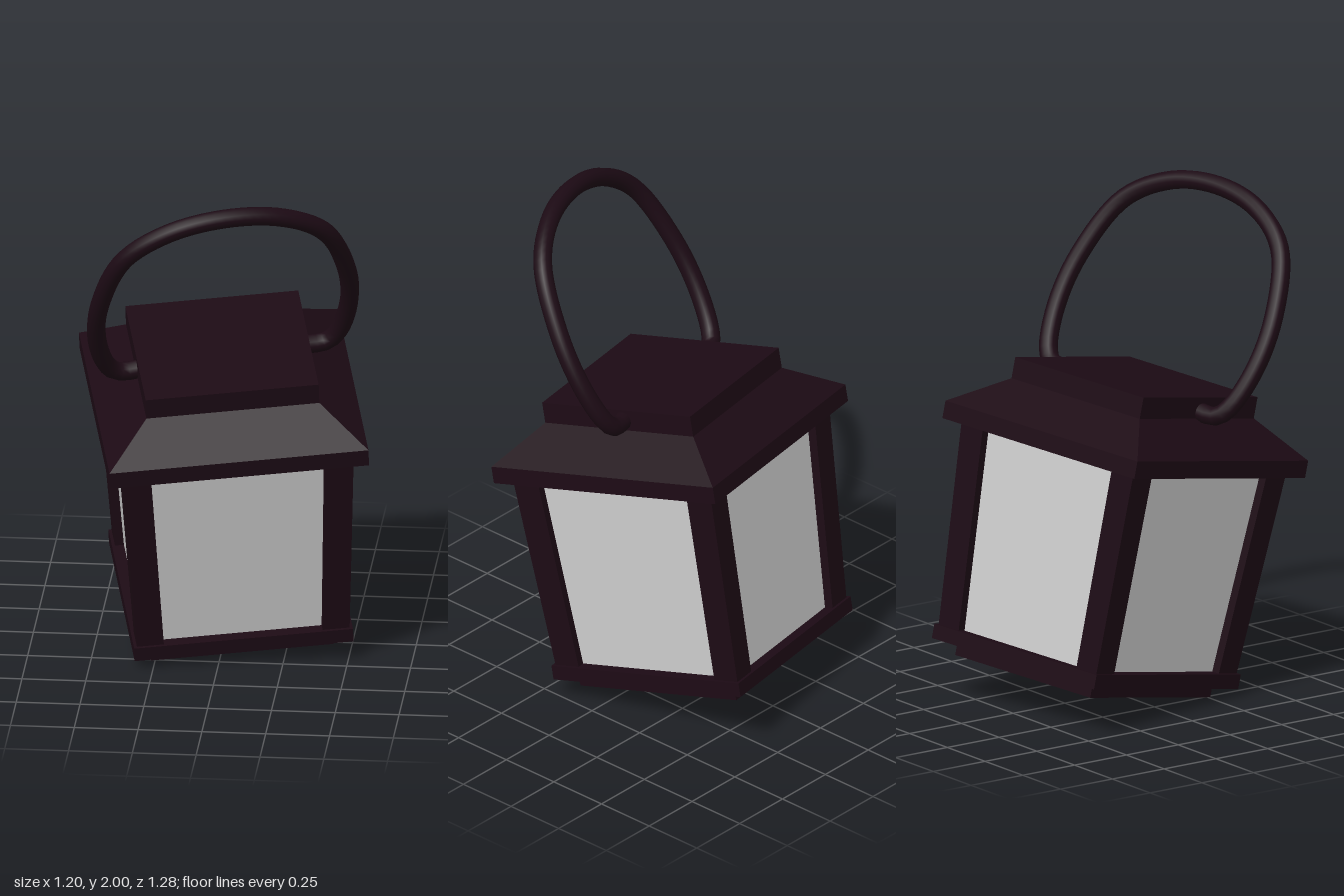
import * as THREE from 'three';

const dark = new THREE.MeshStandardMaterial({ color: 0x1c0a14, flatShading: true });
const smooth = new THREE.MeshStandardMaterial({ color: 0x1c0a14 });
const grey = new THREE.MeshStandardMaterial({ color: 0xcccccc, flatShading: true });

// Square frustum between heights y0 and y1 with half widths h0 and h1
function frustum(name, y0, y1, h0, h1, material = dark) {
  const geo = new THREE.CylinderGeometry(h1 * Math.SQRT2, h0 * Math.SQRT2, y1 - y0, 4);
  geo.rotateY(Math.PI / 4);
  geo.translate(0, (y0 + y1) / 2, 0);
  const mesh = new THREE.Mesh(geo, material);
  mesh.name = name;
  return mesh;
}

export function createModel() {
  const lantern = new THREE.Group();
  lantern.name = 'lantern';

  // Heights are measured from the upper edge of the eave
  const top = -0.07, bottom = -0.878, hTop = 0.455, hBottom = 0.418;
  const postTop = 0.113, postBottom = 0.106, recess = 0.035;

  // Stepped base
  lantern.add(frustum('foot', -0.985, -0.93, 0.358, 0.358));
  lantern.add(frustum('baseFlange', -0.934, -0.876, 0.43, 0.43));

  // Glass panes, set back between the posts
  lantern.add(frustum('panes', bottom, top, hBottom - recess, hTop - recess, grey));

  // Corner posts, leaning outward and widening towards the top
  for (const sx of [-1, 1]) for (const sz of [-1, 1]) {
    const geo = new THREE.BoxGeometry(1, top - bottom, 1);
    const pos = geo.attributes.position;
    for (let i = 0; i < pos.count; i++) {
      const upper = pos.getY(i) > 0;
      const width = upper ? postTop : postBottom;
      const offset = (upper ? hTop : hBottom) - width / 2;
      pos.setX(i, pos.getX(i) * width + sx * offset);
      pos.setZ(i, pos.getZ(i) * width + sz * offset);
    }
    geo.translate(0, (top + bottom) / 2, 0);
    geo.computeVertexNormals();
    const mesh = new THREE.Mesh(geo, dark);
    mesh.name = 'cornerPost';
    lantern.add(mesh);
  }

  // Roof: eave, slope and cap
  lantern.add(frustum('eave', top, 0, 0.509, 0.509));
  lantern.add(frustum('roofSlope', 0, 0.13, 0.509, 0.34));
  lantern.add(frustum('roofCap', 0.125, 0.215, 0.34, 0.34));

  // Carrying handle, mirrored half profile, swung forward and slightly twisted
  const half = [[0.3, 0], [0.41, 0], [0.455, 0.045], [0.5, 0.22], [0.49, 0.44], [0.395, 0.7], [0.22, 0.825]];
  const points = [
    ...half.map(([x, y]) => new THREE.Vector3(-x, y, 0)),
    new THREE.Vector3(0, 0.865, 0),
    ...half.slice().reverse().map(([x, y]) => new THREE.Vector3(x, y, 0)),
  ];
  const curve = new THREE.CatmullRomCurve3(points);
  const handle = new THREE.Mesh(new THREE.TubeGeometry(curve, 72, 0.037, 12), smooth);
  handle.name = 'handle';
  handle.position.y = 0.165;
  handle.rotation.set(THREE.MathUtils.degToRad(18.7), 0.07, 0);
  lantern.add(handle);

  // The whole lantern is tilted and turned
  const front = new THREE.Vector3(0.204, -0.2, 0.959).normalize();
  const side = new THREE.Vector3(0.979, 0.054, -0.195);
  const up = new THREE.Vector3().crossVectors(front, side).normalize();
  side.crossVectors(up, front);
  lantern.quaternion.setFromRotationMatrix(new THREE.Matrix4().makeBasis(side, up, front));
  lantern.position.set(0, 1.056, 0.049);

  const model = new THREE.Group();
  model.name = 'tiltedLantern';
  model.add(lantern);
  return model;
}
